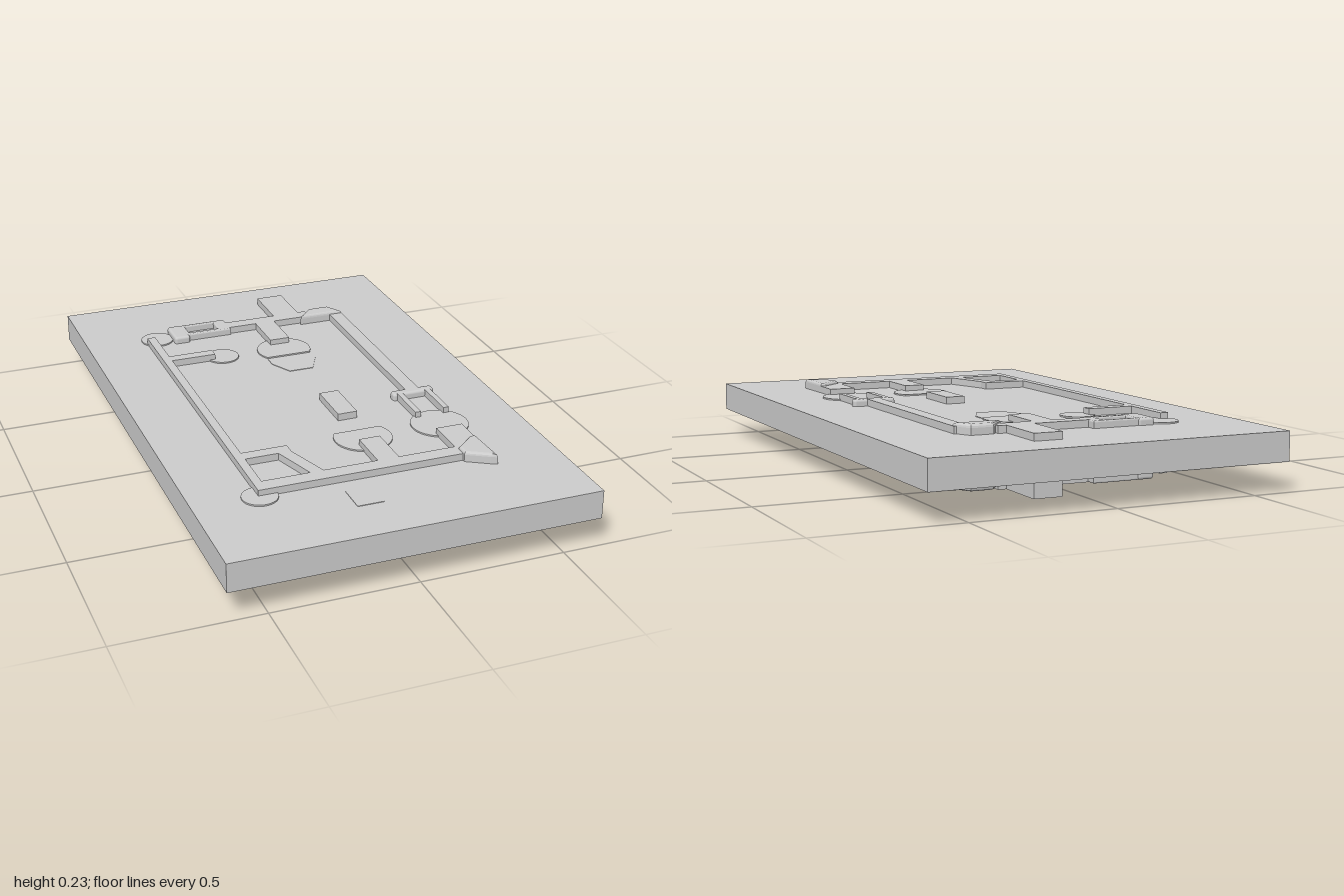
import * as THREE from 'three';
import { RoundedBoxGeometry } from 'three/addons/geometries/RoundedBoxGeometry.js';

const material = new THREE.MeshStandardMaterial({ color: 0xcccccc });
const LOW = 0.02, TOP = 0.225;

export function createModel() {
  const group = new THREE.Group();
  const add = (name, geometry) => {
    const mesh = new THREE.Mesh(geometry, material);
    mesh.name = name;
    group.add(mesh);
    return mesh;
  };
  // box given by its extents
  const box = (name, x0, x1, z0, z1, y0 = LOW, y1 = TOP) =>
    add(name, new THREE.BoxGeometry(x1 - x0, y1 - y0, z1 - z0))
      .position.set((x0 + x1) / 2, (y0 + y1) / 2, (z0 + z1) / 2);
  const roundBox = (name, x0, x1, z0, z1, y0 = LOW, y1 = TOP) =>
    add(name, new RoundedBoxGeometry(x1 - x0, y1 - y0, z1 - z0, 3, 0.01))
      .position.set((x0 + x1) / 2, (y0 + y1) / 2, (z0 + z1) / 2);
  // plan outline in (x, z), extruded vertically
  const points = (list) => list.map(([x, z]) => new THREE.Vector2(x, z));
  const prism = (name, outline, y0 = LOW, y1 = TOP, hole = null, bevel = 0) => {
    const shape = new THREE.Shape(points(outline));
    if (hole) shape.holes.push(new THREE.Path(points(hole)));
    const geometry = new THREE.ExtrudeGeometry(shape, {
      depth: y1 - y0 - 2 * bevel, bevelEnabled: bevel > 0,
      bevelThickness: bevel, bevelSize: bevel, bevelOffset: -bevel, bevelSegments: 3,
    });
    geometry.rotateX(Math.PI / 2);
    add(name, geometry).position.y = y1 - bevel;
  };
  const disc = (name, x, z, r) =>
    add(name, new THREE.CylinderGeometry(r, r, 0.16, 40)).position.set(x, 0.125, z);
  // round socket with one side cut straight; side is the direction of the cut
  const cutDisc = (name, x, z, r, cut, side) => {
    const start = Math.asin(cut / r), outline = [];
    for (let i = 0; i <= 32; i++) {
      const a = Math.PI - start + (Math.PI + 2 * start) * i / 32;
      outline.push([x + r * Math.cos(a), z + side * r * Math.sin(a)]);
    }
    prism(name, outline, 0.045, 0.205);
  };

  // base plate
  box('plate', -0.63, 0.63, -1, 1, 0.1, 0.2);

  // outline rails
  box('sideRailA', -0.41, -0.38, -0.62, 0.655);
  box('frontRail', -0.41, 0.3, 0.6, 0.655);
  box('sideRailB', 0.32, 0.37, -0.61, 0.14);
  box('backRail', -0.09, 0.24, -0.66, -0.61);
  box('backTab', 0.11, 0.21, -0.85, -0.61);

  // sloped reinforcement on the side rail
  const hump = new THREE.Shape(points([[-0.09, 0.1], [0, 0.02], [0.22, 0.02], [0.32, 0.1], [0.32, 0.19], [-0.09, 0.19]]));
  const humpGeometry = new THREE.ExtrudeGeometry(hump, { depth: 0.08, bevelEnabled: false });
  humpGeometry.rotateY(Math.PI / 2);
  add('railReinforcement', humpGeometry).position.x = 0.305;

  // corner and hook discs
  disc('frontCornerDisc', -0.405, 0.655, 0.06);
  disc('backCornerDisc', -0.365, -0.645, 0.06);
  disc('hookDisc', -0.18, -0.41, 0.06);
  box('hookArm', -0.38, -0.215, -0.43, -0.39);

  // slotted buckle on the back rail
  roundBox('buckleBlock', -0.31, -0.25, -0.7, -0.585);
  prism('buckleFrame', [[-0.26, -0.695], [-0.085, -0.695], [-0.085, -0.6], [-0.26, -0.6]], LOW, TOP,
    [[-0.245, -0.68], [-0.13, -0.68], [-0.13, -0.62], [-0.245, -0.62]], 0.005);

  // bevelled corner blocks
  prism('backCornerBlock', [[0.2, -0.595], [0.255, -0.66], [0.335, -0.66], [0.37, -0.595]], LOW, 0.235, null, 0.012);
  prism('frontCornerBlock', [[0.3, 0.62], [0.37, 0.56], [0.39, 0.56], [0.395, 0.72], [0.375, 0.71], [0.3, 0.665]],
    0.03, 0.235, null, 0.01);

  // slanted corner loop
  prism('cornerLoop', [[-0.39, 0.395], [-0.22, 0.395], [-0.22, 0.44], [-0.165, 0.61], [-0.39, 0.61]], LOW, TOP,
    [[-0.38, 0.44], [-0.265, 0.44], [-0.215, 0.6], [-0.38, 0.6]]);

  // facing sockets with their stems
  for (const side of [-1, 1]) {
    cutDisc(side < 0 ? 'backSocket' : 'frontSocket', 0.055, 0.39 * side, 0.1, 0.055, -side);
    const z = [0.44 * side, 0.61 * side].sort((a, b) => a - b);
    box('socketStem', 0.02, 0.095, ...z);
  }
  prism('taperedKey', [[-0.03, -0.33], [0.14, -0.33], [0.14, -0.28], [0.1, -0.2], [0.01, -0.2], [-0.03, -0.28]], 0, 0.202);
  box('centreKey', 0.025, 0.095, 0.06, 0.24);
  box('foot', -0.14, -0.05, 0.22, 0.35, 0, 0.15);
  box('flushInlay', -0.14, -0.05, 0.72, 0.82, 0.098, 0.202);

  // forked connector
  roundBox('forkBar', 0.265, 0.42, 0.13, 0.165);
  box('forkProng', 0.28, 0.3, 0.16, 0.32);
  box('forkProng', 0.385, 0.405, 0.16, 0.32);
  disc('forkDisc', 0.34, 0.385, 0.1);
  box('forkStem', 0.295, 0.39, 0.455, 0.655);

  return group;
}
